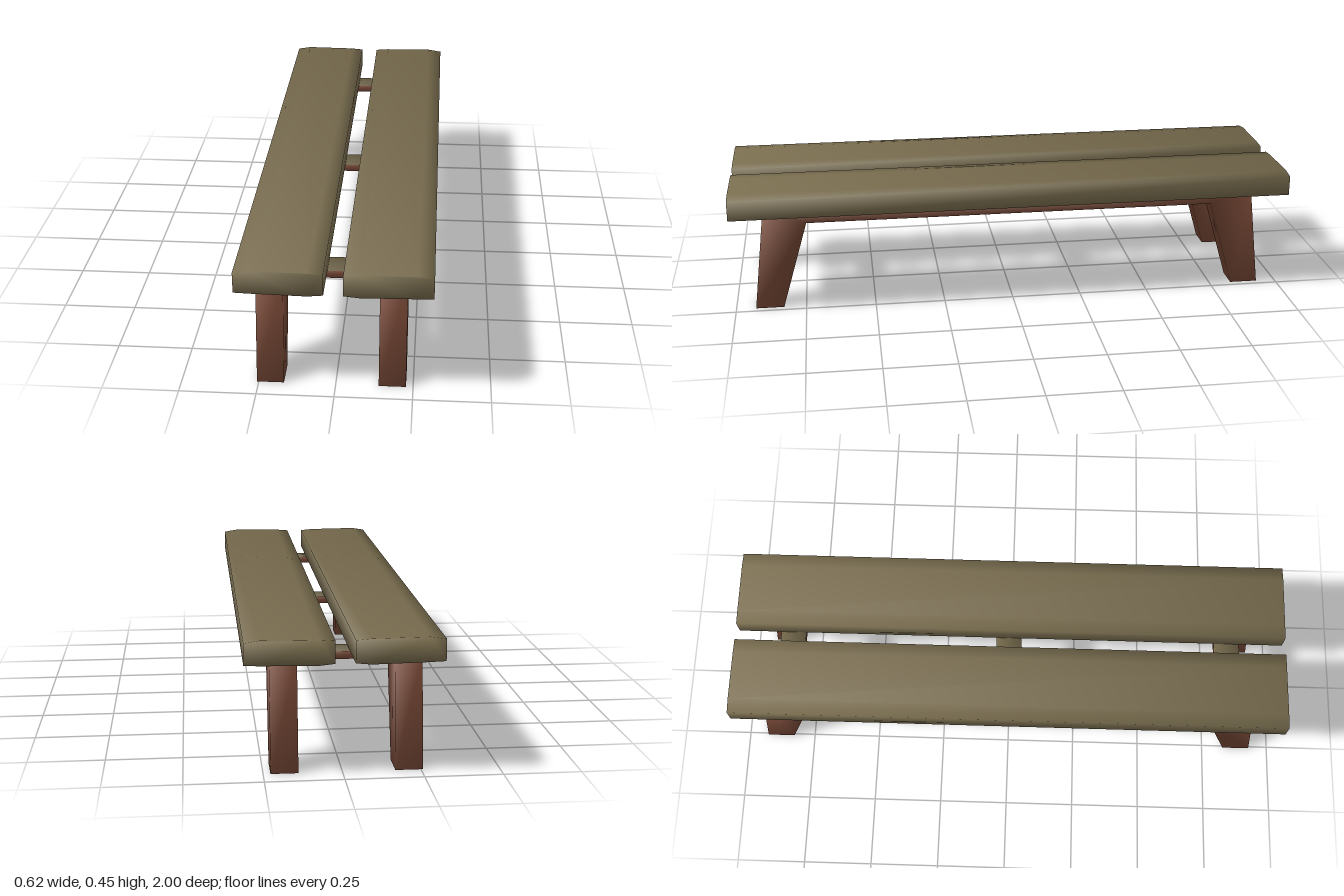
import * as THREE from 'three';

// Share averaged normals between faces that meet at a corner, for soft shading.
function soften(source) {
  const geo = source.index ? source.toNonIndexed() : source;
  const pos = geo.attributes.position;
  geo.computeVertexNormals();
  const nor = geo.attributes.normal;
  const corners = new Map();
  const key = (i) => [pos.getX(i), pos.getY(i), pos.getZ(i)].map((v) => Math.round(v * 1e4)).join();
  for (let i = 0; i < pos.count; i++) {
    const n = new THREE.Vector3().fromBufferAttribute(nor, i);
    const list = corners.get(key(i)) || [];
    if (!list.some((m) => m.dot(n) > 0.999)) list.push(n);
    corners.set(key(i), list);
  }
  for (let i = 0; i < pos.count; i++) {
    const n = new THREE.Vector3();
    corners.get(key(i)).forEach((m) => n.add(m));
    n.normalize();
    nor.setXYZ(i, n.x, n.y, n.z);
  }
  return geo;
}

// Extrude an outline, centred on its depth.
function prism(points, depth) {
  const shape = new THREE.Shape(points.map(([x, y]) => new THREE.Vector2(x, y)));
  const geo = new THREE.ExtrudeGeometry(shape, { depth, bevelEnabled: false });
  return geo.translate(0, 0, -depth / 2);
}

export function createModel() {
  const group = new THREE.Group();
  const plankWood = new THREE.MeshStandardMaterial({ color: 0x786c4e });
  plankWood.name = 'olive wood';
  const frameWood = new THREE.MeshStandardMaterial({ color: 0x7d4c39 });
  frameWood.name = 'red-brown wood';

  const add = (name, geo, material) => {
    const mesh = new THREE.Mesh(soften(geo), material);
    mesh.name = name;
    group.add(mesh);
  };

  // Two seat planks, mirrored, with worn edges
  const profile = [
    [0.031, 0.372], [0.08, 0.367], [0.25, 0.37], [0.31, 0.372],
    [0.31, 0.442], [0.26, 0.45], [0.08, 0.448], [0.031, 0.444],
  ];
  for (const side of [1, -1]) {
    const points = profile.map(([x, y]) => [side * x, y]);
    add(side > 0 ? 'leftPlank' : 'rightPlank', prism(points, 2), plankWood);
  }

  // Two side frames: splayed legs joined by a long rail
  const half = [[0.735, 0.32], [0.83, 0], [0.93, 0], [0.885, 0.371]];
  const outline = [...half, ...half.map(([z, y]) => [-z, y]).reverse()];
  for (const [name, x] of [['leftLegFrame', 0.183], ['rightLegFrame', -0.212]]) {
    add(name, prism(outline, 0.088).rotateY(-Math.PI / 2).translate(x, 0, 0), frameWood);
  }

  // Three crossbars with olive tops
  const barMaterials = [0, 1, 2, 3, 4, 5].map((i) => (i === 2 ? plankWood : frameWood));
  for (const z of [-0.8, -0.004, 0.796]) {
    const bar = new THREE.BoxGeometry(0.31, 0.025, 0.092).translate(-0.014, 0.3575, z);
    add('crossbar', bar, barMaterials);
  }
  return group;
}
